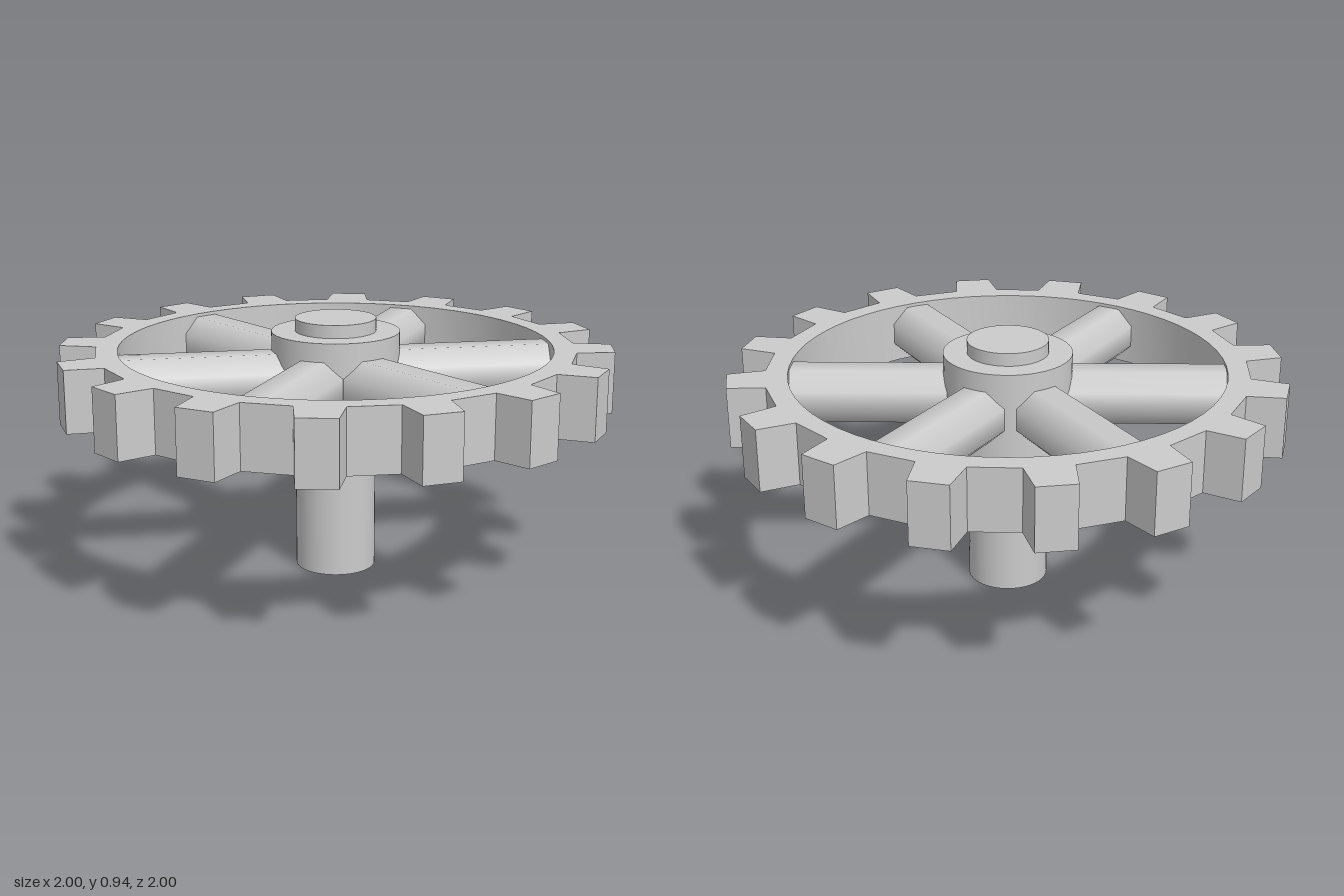
import * as THREE from 'three';
import { toCreasedNormals } from 'three/addons/utils/BufferGeometryUtils.js';

const deg = Math.PI / 180;
const RIM_BOTTOM = 0.61, RIM_TOP = 0.835, RIM_MID = (RIM_BOTTOM + RIM_TOP) / 2;

export function createModel() {
  const model = new THREE.Group();
  const material = new THREE.MeshStandardMaterial({ color: 0xcccccc });

  function add(name, geometry, parent = model) {
    const mesh = new THREE.Mesh(geometry, material);
    mesh.name = name;
    parent.add(mesh);
    return mesh;
  }

  // Upright cylinder between two heights
  function post(name, radius, y0, y1) {
    const mesh = add(name, new THREE.CylinderGeometry(radius, radius, y1 - y0, 40));
    mesh.position.y = (y0 + y1) / 2;
  }

  // Toothed rim: sixteen tapered teeth around a ring with a round opening
  const TEETH = 16, ROOT = 0.865, TIP = 1.0, TURN = -2.8;
  const outline = [];
  for (let i = 0; i < TEETH; i++) {
    const centre = (i * 360) / TEETH + TURN;
    for (const [offset, radius] of [[-5.5, ROOT], [-3.9, TIP], [3.9, TIP], [5.5, ROOT]]) {
      const a = (centre + offset) * deg;
      outline.push(new THREE.Vector2(Math.cos(a) * radius, Math.sin(a) * radius));
    }
  }
  const rimShape = new THREE.Shape(outline);
  rimShape.holes.push(new THREE.Path().absarc(0, 0, 0.785, 0, Math.PI * 2, true));
  const rimGeometry = new THREE.ExtrudeGeometry(rimShape, {
    depth: RIM_TOP - RIM_BOTTOM, bevelEnabled: false, curveSegments: 32,
  });
  rimGeometry.rotateX(-Math.PI / 2).translate(0, RIM_BOTTOM, 0);
  add('toothedRim', toCreasedNormals(rimGeometry, 25 * deg));

  // Hub and the shaft that runs through it
  post('hub', 0.233, 0.55, 0.89);
  post('shaft', 0.147, 0, 0.937);

  // Six stout spokes from hub to rim, set slightly off the axis
  const spokes = new THREE.Group();
  spokes.name = 'spokes';
  spokes.position.set(-0.01, RIM_MID, 0.02);
  model.add(spokes);
  const START = 0.08, END = 0.805;
  const spokeGeometry = new THREE.CylinderGeometry(0.115, 0.115, END - START, 8);
  spokeGeometry.rotateY(Math.PI / 8).rotateZ(-Math.PI / 2).translate((START + END) / 2, 0, 0);
  spokeGeometry.scale(1, 0.94, 1);
  for (let i = 0; i < 6; i++) {
    add('spoke', spokeGeometry, spokes).rotation.y = (i * 60 + 10.3) * deg;
  }

  return model;
}
